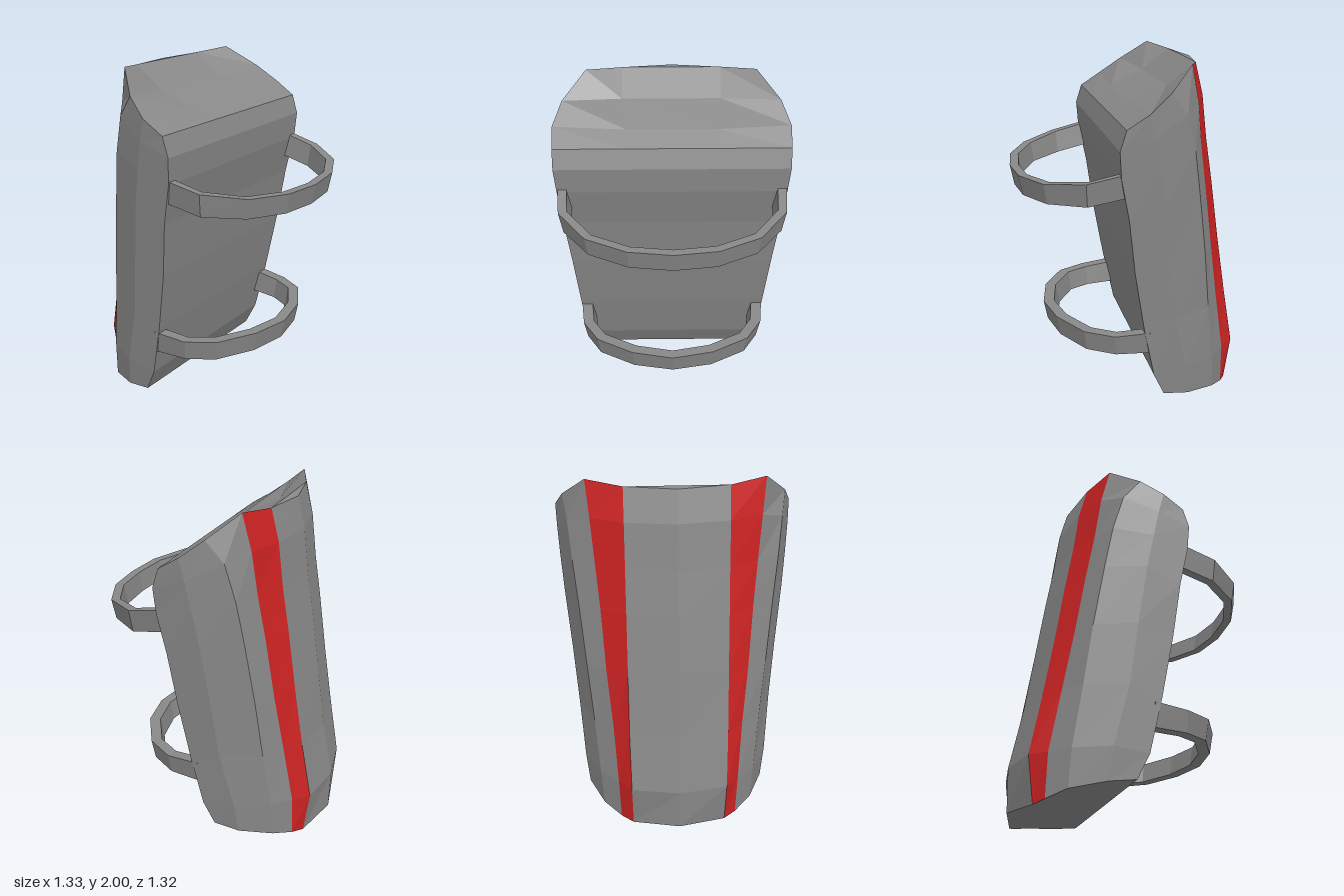
import * as THREE from 'three';

const GREY = 0x888888, RED = 0xcc2222;
const V = (x, y, z) => new THREE.Vector3(x, y, z);
const flip = (p) => V(p.x, p.y, -p.z);

// Flat-shaded mesh from quads (or triangles) of corner points
function faceMesh(name, faces, color) {
  const pts = [];
  for (const f of faces) {
    pts.push(f[0], f[1], f[2]);
    if (f.length === 4) pts.push(f[0], f[2], f[3]);
  }
  const geometry = new THREE.BufferGeometry().setFromPoints(pts);
  geometry.computeVertexNormals();
  const mesh = new THREE.Mesh(geometry, new THREE.MeshStandardMaterial({ color, flatShading: true }));
  mesh.name = name;
  return mesh;
}

// Quads between two neighbouring columns of points
const strip = (a, b) => a.slice(1).map((_, i) => [a[i], b[i], b[i + 1], a[i + 1]]);

// Columns of the shell, from the middle ridge to the rear edge: [x, y, z] going up
const half = [
  [[-.66, .015, 0], [-.667, .26, 0], [-.6, .6, 0], [-.55, .95, 0], [-.5, 1.3, 0], [-.46, 1.55, 0], [-.43, 1.8, 0], [-.387, 1.975, 0]],
  [[-.585, 0, .27], [-.62, .26, .275], [-.56, .6, .28], [-.505, .95, .28], [-.455, 1.3, .28], [-.415, 1.55, .28], [-.385, 1.8, .28], [-.34, 1.98, .28]],
  [[-.54, .015, .34], [-.535, .26, .35], [-.48, .6, .37], [-.425, .95, .4], [-.375, 1.3, .42], [-.335, 1.55, .44], [-.305, 1.8, .46], [-.26, 2, .48]],
  [[-.45, .05, .44], [-.44, .26, .455], [-.395, .6, .48], [-.355, .95, .51], [-.305, 1.3, .54], [-.265, 1.55, .565], [-.21, 1.76, .585], [-.115, 1.88, .61]],
  [[-.27, .08, .53], [-.25, .26, .55], [-.17, .6, .575], [-.13, .95, .6], [-.085, 1.3, .63], [-.05, 1.5, .645], [-.02, 1.66, .655], [.01, 1.785, .66]],
  [[-.12, .1, .54], [-.055, .24, .555], [.01, .55, .575], [.07, .9, .6], [.11, 1.22, .63], [.155, 1.45, .645], [.165, 1.6, .655], [.13, 1.71, .655]],
].map((col) => col.map((p) => V(...p)));

// One end of the shell: a triangle at the ridge, then rows of three quads
function endCap(i, inner) {
  const [ridge, b, c, d, e, f] = half.map((col) => col[i]);
  const rows = [[c, b], [d, inner[0]], [e, inner[1]], [f, V(f.x, f.y, .27)]]
    .map(([o, n]) => [flip(o), flip(n), n, o]);
  const faces = [[ridge, b, flip(b)]];
  for (let r = 0; r < 3; r++) faces.push(...strip(rows[r], rows[r + 1]).map((q) => [...q].reverse()));
  return faces;
}

// Curved strap: stations [x, z, top, bottom] from the side to the middle, then mirrored
function strap(name, stations, thickness, lean) {
  const path = [...stations, ...stations.slice(0, -1).reverse().map(([x, z, t, b]) => [x, -z, t, b])];
  const n = path.length;
  const sections = path.map(([x, z, top, bottom], i) => {
    const a = path[Math.max(i - 1, 0)], c = path[Math.min(i + 1, n - 1)];
    const out = V(a[1] - c[1], 0, c[0] - a[0]).normalize();
    const at = (y, inset) => V(x, y, z).addScaledVector(out, -inset);
    const loop = [at(bottom, lean), at(top, 0), at(top, thickness), at(bottom, thickness + lean)];
    return [...loop, loop[0]];
  });
  const faces = [];
  for (let i = 0; i < n - 1; i++) faces.push(...strip(sections[i], sections[i + 1]));
  faces.push(sections[0].slice(0, 4), sections[n - 1].slice(0, 4).reverse());
  return faceMesh(name, faces, GREY);
}

export function createModel() {
  const group = new THREE.Group();
  group.name = 'shinGuard';

  // Shell all the way round; the two stripe columns become their own meshes
  const columns = [...half.slice(1).reverse().map((col) => col.map(flip)), ...half];
  const shell = [];
  columns.forEach((col, j) => {
    const faces = strip(col, columns[(j + 1) % columns.length]);
    if (j === 3) group.add(faceMesh('backStripe', faces, RED));
    else if (j === 6) group.add(faceMesh('frontStripe', faces, RED));
    else shell.push(...faces);
  });
  shell.push(...endCap(7, [V(-.18, 1.86, .28), V(.02, 1.77, .25)]));
  shell.push(...endCap(0, [V(-.45, .045, .27), V(-.27, .075, .27)]).map((f) => f.reverse()));
  group.add(faceMesh('shell', shell, GREY));

  // Straps
  group.add(strap('upperStrap', [[.1, .645, 1.48, 1.345], [.335, .622, 1.43, 1.3], [.535, .467, 1.4, 1.285],
    [.642, .24, 1.39, 1.275], [.667, 0, 1.385, 1.27]], .05, .022));
  group.add(strap('lowerStrap', [[-.03, .575, .52, .385], [.17, .55, .505, .385], [.33, .455, .51, .39],
    [.455, .24, .515, .395], [.5, 0, .51, .395]], .065, .022));
  return group;
}
